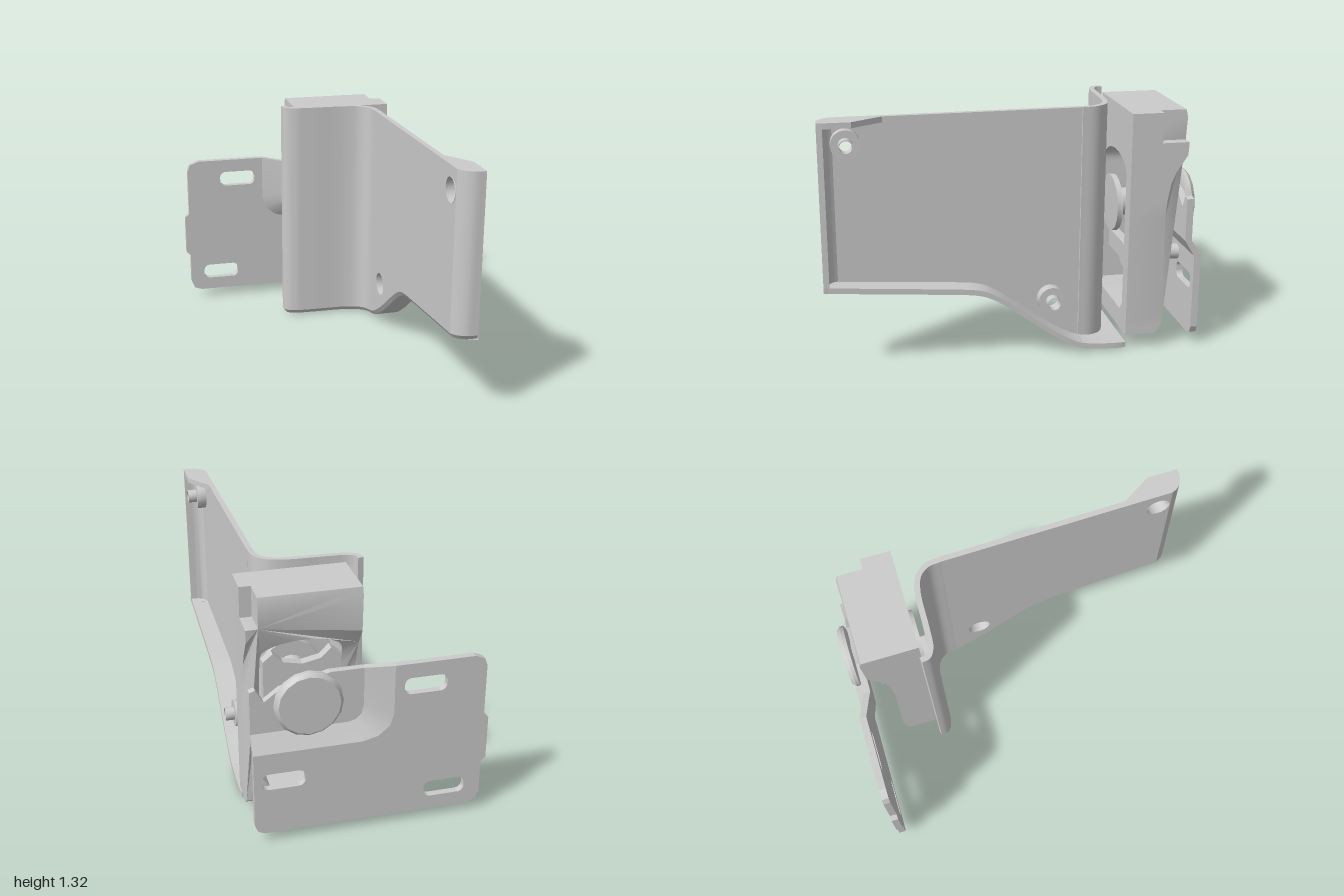
import * as THREE from 'three';
import { toCreasedNormals } from 'three/addons/utils/BufferGeometryUtils.js';

const V = (x, y, z) => new THREE.Vector3(x, y, z);
const grey = new THREE.MeshStandardMaterial({ color: 0xcccccc, side: THREE.DoubleSide });

function part(name, geometry, parent, x = 0, y = 0, z = 0) {
  const mesh = new THREE.Mesh(geometry, grey);
  mesh.name = name;
  mesh.position.set(x, y, z);
  parent.add(mesh);
  return mesh;
}

// Skin over closed cross-sections; end caps fan out from corner 0
function loft(sections) {
  const pos = [];
  const tri = (...ps) => ps.forEach(p => pos.push(p.x, p.y, p.z));
  const n = sections[0].length;
  for (let i = 0; i < sections.length - 1; i++) {
    const a = sections[i], b = sections[i + 1];
    for (let j = 0; j < n; j++) {
      const k = (j + 1) % n;
      tri(a[j], b[j], b[k]);
      tri(a[j], b[k], a[k]);
    }
  }
  const first = sections[0], last = sections[sections.length - 1];
  for (let j = 1; j < n - 1; j++) {
    tri(first[0], first[j], first[j + 1]);
    tri(last[0], last[j + 1], last[j]);
  }
  const g = new THREE.BufferGeometry();
  g.setAttribute('position', new THREE.Float32BufferAttribute(pos, 3));
  return toCreasedNormals(g, 0.6);
}

const shapeOf = pts => new THREE.Shape(pts.map(p => new THREE.Vector2(...p)));
const extrude = (shape, depth) =>
  new THREE.ExtrudeGeometry(shape, { depth, bevelEnabled: false, curveSegments: 12 });

function roundHole(x, y, r) {
  const p = new THREE.Path();
  p.absarc(x, y, r, 0, Math.PI * 2, true);
  return p;
}

function slot(x, y, w = 0.22, h = 0.09, r = 0.035) {
  const p = new THREE.Path(), a = w / 2 - r, b = h / 2 - r;
  p.absarc(x + a, y + b, r, 0, Math.PI / 2);
  p.absarc(x - a, y + b, r, Math.PI / 2, Math.PI);
  p.absarc(x - a, y - b, r, Math.PI, Math.PI * 1.5);
  p.absarc(x + a, y - b, r, Math.PI * 1.5, Math.PI * 2);
  return p;
}

// Turned part lying along z, profile given as [radius, z]
function turnedZ(profile, sides) {
  const g = new THREE.LatheGeometry(profile.map(p => new THREE.Vector2(...p)), sides);
  g.rotateX(Math.PI / 2);
  return toCreasedNormals(g, 0.5);
}

// Straight-line lookup in a table of [input, output]
function lookup(table, v) {
  if (v <= table[0][0]) return table[0][1];
  for (let i = 1; i < table.length; i++) {
    const [a, fa] = table[i - 1], [b, fb] = table[i];
    if (v <= b) return fa + (fb - fa) * (v - a) / (b - a);
  }
  return table[table.length - 1][1];
}

function buildCover(root) {
  const cover = new THREE.Group();
  cover.name = 'cover';
  root.add(cover);
  const top = 1.33, t = 0.03, zA = -0.36, zB = 0.93;
  const edge = new THREE.SplineCurve([[-0.6, 0.01], [-0.45, 0.02], [-0.33, 0.045], [-0.2, 0.12], [-0.1, 0.19],
    [0, 0.265], [0.1, 0.335], [0.2, 0.378], [0.4, 0.4], [1, 0.45]].map(p => new THREE.Vector2(...p)));
  const edgeTable = edge.getPoints(60).map(p => [p.x, p.y]);
  const bottomAt = z => lookup(edgeTable, z);
  const wallX = z => 0.45 + 0.025 * (z - zA) / (zB - zA);
  const curve = pts => new THREE.CatmullRomCurve3(pts.map(p => V(p[0], 0, p[1])), false, 'centripetal');

  // L-shaped section: wall with a rounded foot and a lip turned inwards
  const section = (p, d, wallTop) => {
    const yb = bottomAt(p.z), ix = p.x + d.z * t, iz = p.z - d.x * t;
    const turn = THREE.MathUtils.smoothstep(p.x, 0.33, 0.43);
    const ex = Math.max(ix, THREE.MathUtils.lerp(p.x, 0.6, turn));
    const ez = p.x < 0.42 ? -0.6 : p.z > zA ? p.z : THREE.MathUtils.lerp(-0.6, p.z, (p.x - 0.42) / 0.03);
    const h = wallTop ?? yb + 0.05;
    const fx = THREE.MathUtils.lerp(p.x, ix, 0.6), fz = THREE.MathUtils.lerp(p.z, iz, 0.6);
    return [V(ix, yb + t, iz), V(ex, yb + t, ez), V(ex, yb, ez), V(fx, yb, fz),
      V(p.x, yb + 0.025, p.z), V(p.x, h, p.z), V(ix, h, iz)];
  };
  const along = (c, n, h) => loft(Array.from({ length: n + 1 }, (_, i) =>
    section(c.getPointAt(i / n), c.getTangentAt(i / n), h)));
  part('coverFace', along(curve([[-0.06, -0.6], [-0.05, -0.555], [0, -0.525], [0.1, -0.515], [0.32, -0.505],
    [0.4, -0.48], [0.44, -0.43], [0.45, zA]]), 40, top), cover);
  part('coverLowerLip', along(new THREE.LineCurve3(V(0.45, 0, zA), V(0.475, 0, zB)), 40), cover);
  part('coverEndFlange', along(curve([[0.475, zB], [0.495, 0.965], [0.54, 0.995], [0.6, 1]]), 12, top), cover);

  // Side wall, drawn in z and y, then stood on its slightly slanted line
  const bosses = [[0.86, 1.205], [-0.2, 0.3]];
  const outline = [[zB, top], [zA, top]];
  for (let i = 0; i <= 40; i++) {
    const z = zA + (zB - zA) * i / 40;
    outline.push([z, bottomAt(z) + 0.045]);
  }
  const wall = shapeOf(outline);
  wall.holes = bosses.map(([z, y]) => roundHole(z, y, 0.067));
  const g = extrude(wall, t), a = g.attributes.position;
  for (let i = 0; i < a.count; i++) {
    const z = a.getX(i);
    a.setXYZ(i, wallX(z) + t - a.getZ(i), a.getY(i), z);
  }
  g.computeVertexNormals();
  part('coverSideWall', g, cover);

  // Hollow stepped bosses on the inside of the wall
  const boss = turnedZ([[0.066, 0], [0.075, 0.025], [0.075, 0.08], [0.037, 0.08], [0.037, 0.13],
    [0.032, 0.13], [0.032, 0.07], [0.066, 0.065], [0.066, 0]], 16);
  boss.rotateY(Math.PI / 2);
  bosses.forEach(([z, y]) => part('coverBoss', boss, cover, 0.472, y, z));

  // Triangular gusset closing the upper corner
  const gusset = extrude(shapeOf([[0.48, -0.64], [0.6, -0.83], [0.6, -0.995], [0.54, -0.99],
    [0.5, -0.96], [0.48, -0.93]]), t);
  gusset.rotateX(-Math.PI / 2);
  part('coverTopGusset', gusset, cover, 0, top - t, 0);
}

function buildHousing(root) {
  const housing = new THREE.Group();
  housing.name = 'housing';
  root.add(housing);
  const back = [[0.09, -0.75], [0.115, -0.78], [0.15, -0.795], [0.2, -0.8], [0.75, -0.79], [0.85, -0.8],
    [0.93, -0.815], [0.99, -0.84], [1.08, -0.9], [1.27, -0.91], [1.31, -0.9]];
  // Frame outline with many stops up the sides so its back can follow the profile
  const ys = back.map(b => b[0]);
  const outer = [];
  ys.forEach(y => { if (y < 1.15) outer.push([0.6, y]); });
  outer.push([0.6, 1.15], [0.54, 1.15], [0.54, 1.27], [0.54, 1.31]);
  [...ys].reverse().forEach(y => outer.push([0.03, y]));
  const frame = shapeOf(outer);
  const hole = [[0.15, 0.2], [0.11, 0.25]];
  ys.forEach(y => { if (y > 0.3 && y < 0.95) hole.push([0.11, y]); });
  for (let i = 0; i <= 12; i++) {
    const t = Math.PI * (1 - i / 12);
    hole.push([0.315 + 0.205 * Math.cos(t), 0.96 + 0.1 * Math.sin(t)]);
  }
  [...ys].reverse().forEach(y => { if (y > 0.3 && y < 0.95) hole.push([0.52, y]); });
  hole.push([0.52, 0.25], [0.48, 0.2]);
  frame.holes = [new THREE.Path(hole.map(p => new THREE.Vector2(...p)))];
  const g = extrude(frame, 1), a = g.attributes.position;
  for (let i = 0; i < a.count; i++) a.setZ(i, a.getZ(i) > 0.5 ? -0.595 : lookup(back, a.getY(i)));
  part('housingFrame', toCreasedNormals(g, 0.5), housing);
  // Shortened upper corner
  part('housingCorner', new THREE.BoxGeometry(0.06, 0.16, 0.165), housing, 0.57, 1.23, -0.6775);

  // Horned saddle over the shaft
  const saddle = shapeOf([[0.12, 0.7], [0.12, 0.94], [0.17, 0.98], [0.22, 0.93], [0.315, 0.91], [0.41, 0.93],
    [0.46, 0.98], [0.51, 0.94], [0.51, 0.7]]);
  saddle.holes = [roundHole(0.315, 0.79, 0.07)];
  part('saddle', extrude(saddle, 0.05), housing, 0, 0, -0.845);

  // Shaft with inner head and flat outer knob
  part('shaftAndKnob', turnedZ([[0, -0.57], [0.155, -0.57], [0.155, -0.6], [0.075, -0.6], [0.075, -0.95],
    [0.15, -0.95], [0.173, -0.96], [0.173, -0.98], [0.155, -1], [0, -1]], 16), housing, 0.315, 0.76, 0);
  part('lockPin', turnedZ([[0, -0.62], [0.065, -0.62], [0.065, -0.86], [0.042, -0.875], [0.042, -0.93],
    [0, -0.93]], 16), housing, 0.42, 0.49, 0);
  part('lockPinBar', new THREE.BoxGeometry(0.43, 0.1, 0.05), housing, 0.315, 0.49, -0.66);
}

function buildMount(root) {
  const mount = new THREE.Group();
  mount.name = 'mountingPlate';
  root.add(mount);
  const t = 0.037, zLow = -1, zHigh = -0.945;
  const outer = [[-0.11, 0.92], [-0.11, 0.66], [-0.09, 0.59], [-0.03, 0.54], [0.05, 0.52], [0.6, 0.52]];
  const inner = [[0.03, 0.9], [0.03, 0.7], [0.04, 0.65], [0.07, 0.62], [0.11, 0.61], [0.6, 0.61]];
  // Flat plate with slots
  const plate = shapeOf([...outer, [0.6, 0.11], [0.585, 0.075], [0.55, 0.06], [-0.52, 0.06], [-0.565, 0.075],
    [-0.585, 0.12], [-0.585, 0.3], [-0.61, 0.325], [-0.61, 0.56], [-0.585, 0.58], [-0.585, 0.86],
    [-0.57, 0.9], [-0.52, 0.92]]);
  plate.holes = [slot(-0.27, 0.797), slot(-0.39, 0.18), slot(0.45, 0.36)];
  part('flatPlate', extrude(plate, t), mount, 0, 0, zLow);
  // Sloping step and the recessed seat behind the knob
  part('plateStep', loft(outer.map(([x, y], i) => {
    const [u, v] = inner[i];
    return [V(x, y, zLow), V(x, y, zLow + t), V(u, v, zHigh + t), V(u, v, zHigh)];
  })), mount);
  part('knobSeat', extrude(shapeOf([...inner, [0.6, 0.84], [0.57, 0.85], [0.53, 0.78], [0.45, 0.84],
    [0.2, 0.9]]), t), mount, 0, 0, zHigh);
}

export function createModel() {
  const root = new THREE.Group();
  root.name = 'hingeBracket';
  buildCover(root);
  buildHousing(root);
  buildMount(root);
  return root;
}
